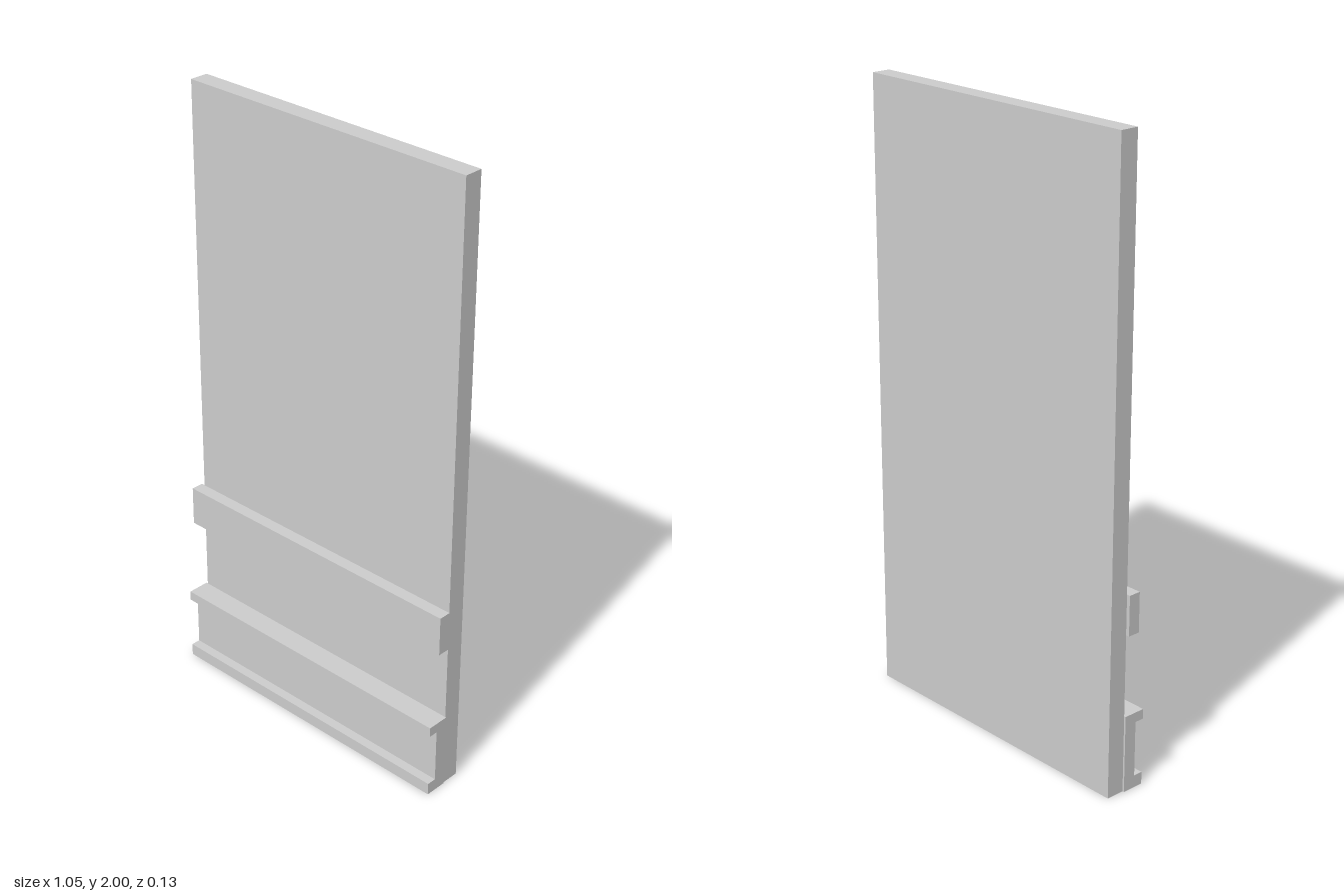
import * as THREE from 'three';

const material = new THREE.MeshStandardMaterial({ color: 0xcccccc });

// Box given by its lower and upper limits on each axis
function slab(name, [x0, x1], [y0, y1], [z0, z1]) {
  const mesh = new THREE.Mesh(new THREE.BoxGeometry(x1 - x0, y1 - y0, z1 - z0), material);
  mesh.name = name;
  mesh.position.set((x0 + x1) / 2, (y0 + y1) / 2, (z0 + z1) / 2);
  return mesh;
}

// Skirting with a channel profile, drawn as (z, y) and extruded along x
function skirting(x0, x1) {
  const back = -0.006, web = 0.036, lip = 0.067;
  const profile = [
    [back, 0], [lip, 0], [lip, 0.04], [web, 0.04],
    [web, 0.22], [lip, 0.22], [lip, 0.252], [back, 0.252],
  ];
  // shape x is -z, so a quarter turn puts the extrusion along +x
  const shape = new THREE.Shape(profile.map(([z, y]) => new THREE.Vector2(-z, y)));
  const geometry = new THREE.ExtrudeGeometry(shape, { depth: x1 - x0, bevelEnabled: false });
  geometry.rotateY(Math.PI / 2);
  const mesh = new THREE.Mesh(geometry, material);
  mesh.name = 'skirting';
  mesh.position.x = x0;
  return mesh;
}

export function createModel() {
  const group = new THREE.Group();
  group.name = 'wallPanel';

  // Tall wall board
  group.add(slab('board', [-0.519, 0.517], [0, 2], [-0.067, -0.006]));

  // Guard rail held off the board by a slimmer spacer
  group.add(slab('railSpacer', [-0.505, 0.503], [0.526, 0.624], [-0.006, 0.004]));
  group.add(slab('guardRail', [-0.522, 0.525], [0.51, 0.64], [0.003, 0.043]));

  // Lipped skirting along the foot
  group.add(skirting(-0.525, 0.52));

  return group;
}
